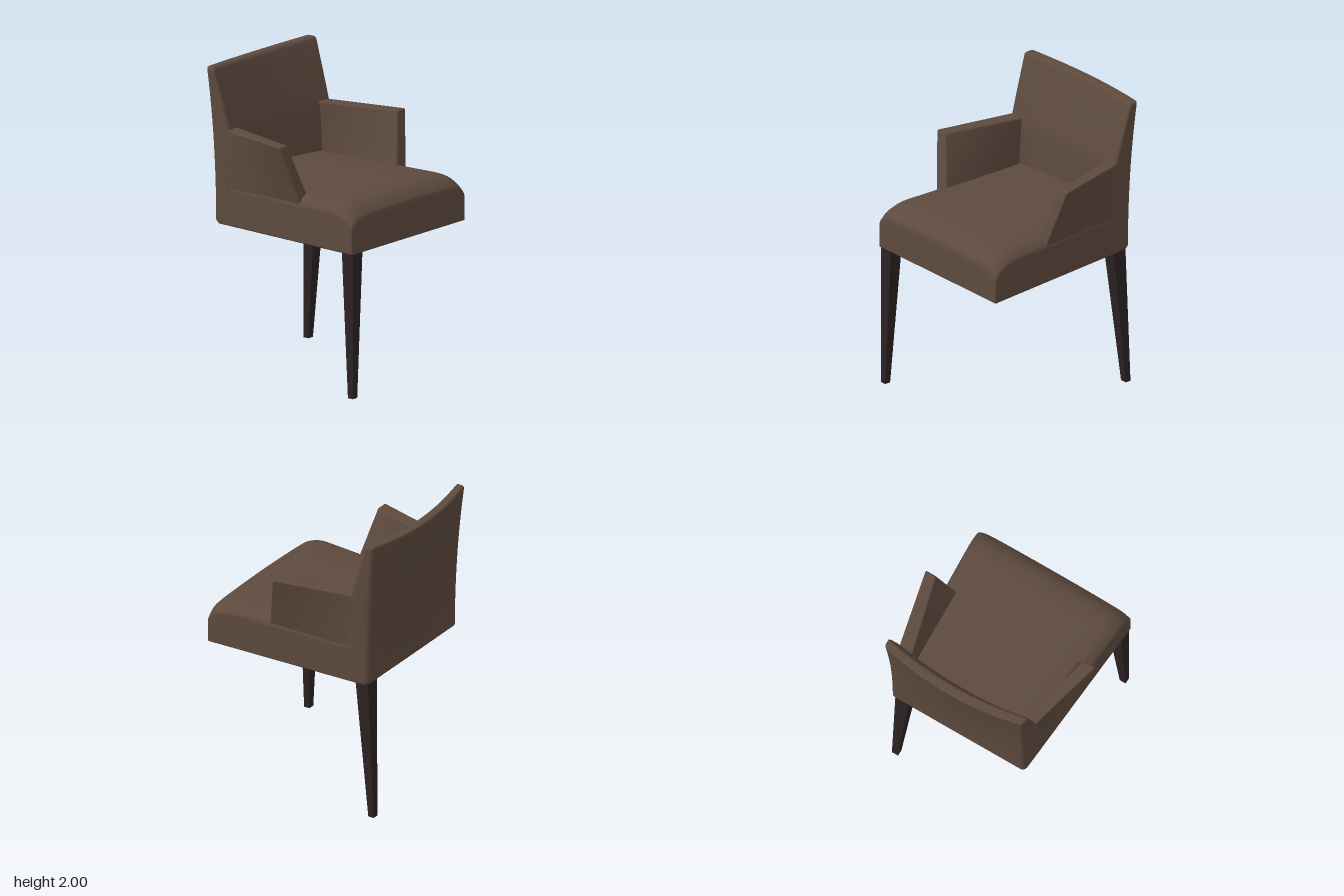
import * as THREE from 'three';
import { mergeVertices } from 'three/addons/utils/BufferGeometryUtils.js';

const lerp = THREE.MathUtils.lerp;

// Rounded box with a dense grid, whose points (u, v, w in -1..1) are moved by a rule.
function softBox(size, r, n, warp) {
  const geo = new THREE.BoxGeometry(2, 2, 2, n, n, n);
  const pos = geo.attributes.position;
  const steps = 3;
  const spread = (c, h) => {
    const k = Math.round((c + 1) / 2 * n);
    if (k <= steps) return -h + r * k / steps;
    if (k >= n - steps) return h - r * (n - k) / steps;
    return lerp(-h + r, h - r, (k - steps) / (n - 2 * steps));
  };
  const half = new THREE.Vector3(...size).multiplyScalar(0.5);
  const inner = half.clone().subScalar(r);
  const p = new THREE.Vector3(), core = new THREE.Vector3();
  for (let i = 0; i < pos.count; i++) {
    p.set(spread(pos.getX(i), half.x), spread(pos.getY(i), half.y), spread(pos.getZ(i), half.z));
    core.copy(p).clamp(inner.clone().negate(), inner);
    p.sub(core).setLength(r).add(core).divide(half);
    pos.setXYZ(i, ...warp(p.x, p.y, p.z));
  }
  geo.deleteAttribute('uv');
  geo.deleteAttribute('normal');
  const merged = mergeVertices(geo, 1e-5);
  merged.computeVertexNormals();
  return merged;
}

// Half width of the seat, narrowing towards the back
const seatHalf = z => 0.5 + (z + 0.54) / 1.2 * 0.075;

// Seat: crowned top, soft side edges and a rolled front
function seatRule(u, v, w) {
  const z = lerp(-0.52, 0.66, (w + 1) / 2);
  const t = THREE.MathUtils.clamp((z - 0.47) / 0.19, 0, 1);
  const roll = 0.11 * (1 - Math.sqrt(1 - t * t));
  const top = 1.287 - 0.018 * u * u - 0.06 * Math.pow(Math.abs(u), 16) - roll;
  return [u * seatHalf(z), lerp(0.96, top, (v + 1) / 2), z];
}

// Backrest: bowed across its width, leaning back towards the top
function backRule(u, v, w) {
  const t = (v + 1) / 2;
  const bow = 1 - u * u;
  const y = lerp(0.961, 2 - 0.02 * bow, t);
  const lean = Math.pow(Math.max(0, (y - 1.56) / 0.44), 1.1);
  const front = -0.395 - 0.015 * t - 0.125 * lean - bow * (0.02 + 0.04 * t);
  const rear = -0.545 - 0.055 * t * t - 0.06 * Math.pow(t, 1.5) * bow;
  const z = lerp(rear, front, (w + 1) / 2);
  return [u * (seatHalf(z) + 0.002 + 0.024 * t * t), y, z];
}

// Armrest: flares outwards to the front; side is +1 or -1
const armRule = side => (u, v, w) => {
  const a = (side * u + 1) / 2, b = (v + 1) / 2, c = (w + 1) / 2;
  const rearX = lerp(lerp(0.43, 0.502, a), lerp(0.4, 0.503, a), b);
  const frontX = lerp(lerp(0.43, 0.532, a), lerp(0.56, 0.642, a), b);
  return [side * lerp(rearX, frontX, c), lerp(1.19, 1.6, b), lerp(-0.47, lerp(0.205, 0.108, b), c)];
};

// Tapered leg between a bottom and a top rectangle [x0, x1, z0, z1]
const legRule = (bottom, top) => (u, v, w) => {
  const t = (v + 1) / 2;
  const [x0, x1, z0, z1] = bottom.map((value, i) => lerp(value, top[i], t));
  return [lerp(x0, x1, (u + 1) / 2), lerp(0, 0.97, t), lerp(z0, z1, (w + 1) / 2)];
};

export function createModel() {
  const group = new THREE.Group();
  const upholstery = new THREE.MeshStandardMaterial({ color: 0x5d4a3e });
  upholstery.name = 'brownUpholstery';
  const wood = new THREE.MeshStandardMaterial({ color: 0x2c2223 });
  wood.name = 'darkWood';

  const add = (name, geo, material) => {
    const mesh = new THREE.Mesh(geo, material);
    mesh.name = name;
    group.add(mesh);
  };

  add('seat', softBox([1.15, 0.32, 1.18], 0.012, 40, seatRule), upholstery);
  add('backrest', softBox([1.05, 1.04, 0.1], 0.025, 28, backRule), upholstery);
  for (const [name, side] of [['leftArmrest', 1], ['rightArmrest', -1]]) {
    add(name, softBox([0.09, 0.41, 0.62], 0.012, 14, armRule(side)), upholstery);
  }

  // Two legs on opposite corners
  const legs = {
    frontLeg: [[-0.56, -0.515, 0.612, 0.655], [-0.56, -0.46, 0.56, 0.655]],
    backLeg: [[0.433, 0.48, -0.572, -0.53], [0.378, 0.48, -0.53, -0.428]],
  };
  for (const [name, [bottom, top]] of Object.entries(legs)) {
    add(name, softBox([0.08, 0.97, 0.08], 0.004, 8, legRule(bottom, top)), wood);
  }
  return group;
}
